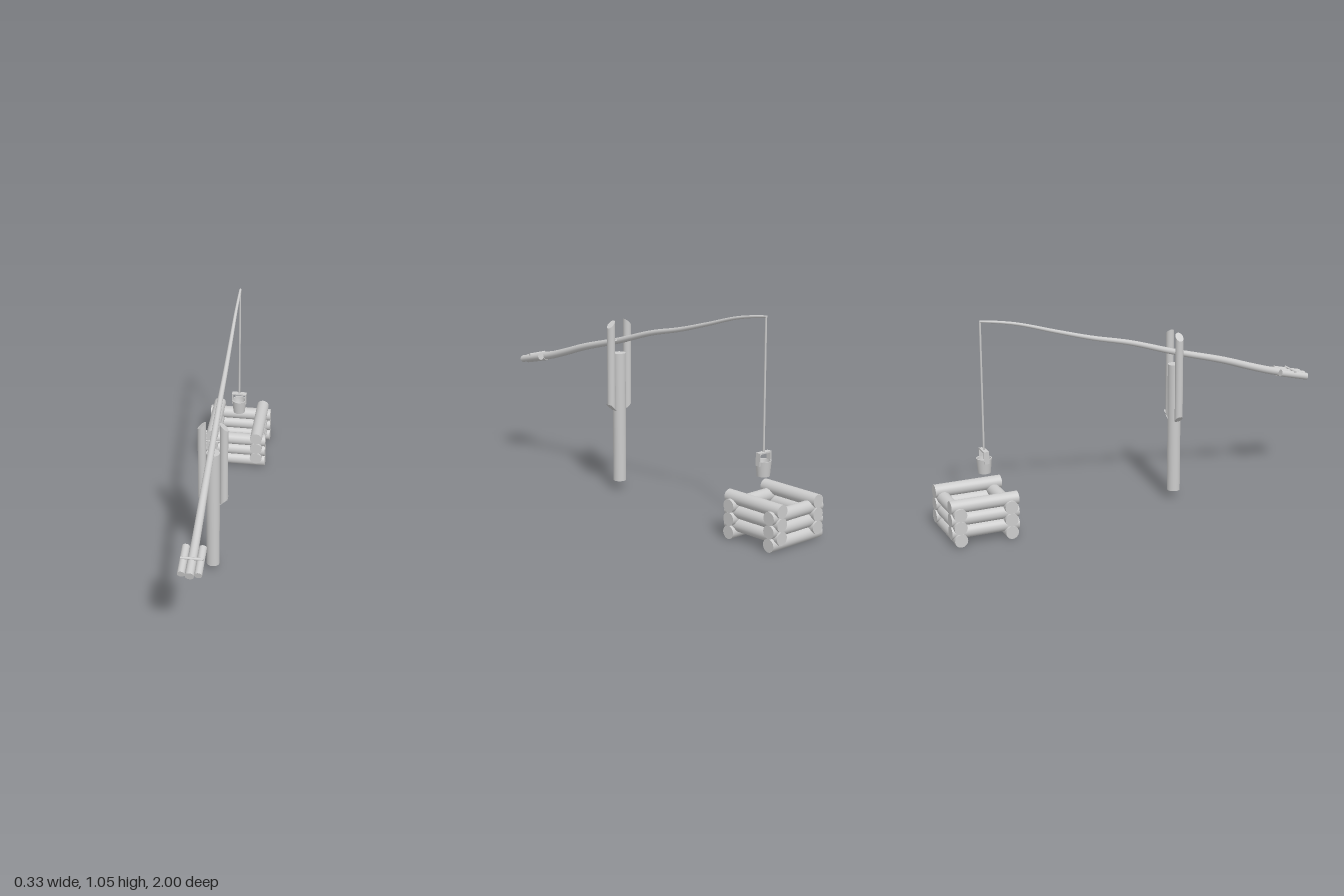
import * as THREE from 'three';

const mat = new THREE.MeshStandardMaterial({ color: 0xcccccc, side: THREE.DoubleSide });
const CX = 0.012; // the post, sweep and bucket share this x

export function createModel() {
  const model = new THREE.Group();
  model.name = 'shadoofWell';

  const add = (name, geo, x = 0, y = 0, z = 0, parent = model) => {
    const mesh = new THREE.Mesh(geo, mat);
    mesh.name = name;
    mesh.position.set(x, y, z);
    parent.add(mesh);
    return mesh;
  };

  // Cylinder running between two points
  const rod = (name, a, b, r, parent = model, sides = 24) => {
    const from = new THREE.Vector3(...a), to = new THREE.Vector3(...b);
    const dir = to.clone().sub(from);
    const mid = from.clone().add(to).multiplyScalar(0.5);
    const mesh = add(name, new THREE.CylinderGeometry(r, r, dir.length(), sides), mid.x, mid.y, mid.z, parent);
    mesh.quaternion.setFromUnitVectors(new THREE.Vector3(0, 1, 0), dir.normalize());
    return mesh;
  };

  // Upright post
  const postZ = 0.243;
  rod('post', [CX, 0.045, postZ], [CX, 0.715, postZ], 0.033);

  // Fork: two round cheeks with mitred ends, longest on the inner side
  for (const side of [-1, 1]) {
    const r = 0.02, h = 0.43;
    const geo = new THREE.CylinderGeometry(r, r, h, 24);
    const p = geo.attributes.position;
    for (let i = 0; i < p.count; i++) {
      p.setY(i, p.getY(i) - Math.sign(p.getY(i)) * side * p.getX(i) * 0.9);
    }
    geo.computeVertexNormals();
    add(side < 0 ? 'rightForkCheek' : 'leftForkCheek', geo, CX + side * 0.0535, 0.652, postZ);
  }
  // Square mitred foot plate under the left cheek
  const foot = add('forkFootPlate', new THREE.PlaneGeometry(0.054, 0.042), CX + 0.0535, 0.437, postZ);
  foot.rotation.set(Math.PI / 2, Math.atan(-0.9), 0, 'ZYX');
  foot.rotation.set(Math.PI / 2, 0, 0);
  foot.quaternion.premultiply(new THREE.Quaternion().setFromAxisAngle(new THREE.Vector3(0, 0, 1), Math.atan(0.9)));

  // Pivot pin between the cheeks
  rod('pivotPin', [CX - 0.05, 0.78, postZ], [CX + 0.05, 0.78, postZ], 0.004, model, 12);

  // Sweep: slightly crooked pole tapering to the tip
  const path = new THREE.CatmullRomCurve3([
    [0.565, 0.995], [0.612, 0.8], [0.65, 0.676], [0.703, 0.516], [0.778, 0.243], [0.853, 0],
    [0.901, -0.206], [0.954, -0.393], [1.01, -0.58], [1.032, -0.687], [1.045, -0.778],
  ].map(([y, z]) => new THREE.Vector3(CX, y, z)));
  const steps = 60, sides = 16;
  const sweep = new THREE.TubeGeometry(path, steps, 1, sides, false);
  const sp = sweep.attributes.position;
  for (let i = 0; i <= steps; i++) {
    const t = i / steps, c = path.getPointAt(t);
    const r = 0.021 - 0.015 * Math.pow(t, 1.2);
    for (let j = 0; j <= sides; j++) {
      const k = i * (sides + 1) + j;
      const v = new THREE.Vector3().fromBufferAttribute(sp, k).sub(c).multiplyScalar(r).add(c);
      sp.setXYZ(k, v.x, v.y, v.z);
    }
  }
  add('sweepPole', sweep);
  // End discs closing the pole
  for (const [t, r] of [[0, 0.021], [1, 0.006]]) {
    const c = path.getPointAt(t);
    const cap = add('sweepEnd', new THREE.CircleGeometry(r, sides), c.x, c.y, c.z);
    cap.lookAt(c.clone().addScaledVector(path.getTangentAt(t), t ? 1 : -1));
  }

  // Counterweight: short logs beside the pole, tied by a cross rod
  const weight = new THREE.Group();
  weight.name = 'counterweight';
  model.add(weight);
  for (const dx of [-0.039, 0.039]) {
    rod('weightLog', [CX + dx, 0.568, 0.99], [CX + dx, 0.605, 0.835], 0.018, weight);
  }
  rod('weightLog', [CX, 0.562, 0.994], [CX, 0.6, 0.835], 0.0205, weight);
  rod('weightTie', [CX - 0.052, 0.603, 0.917], [CX + 0.052, 0.603, 0.917], 0.007, weight, 12);

  // Rope
  const tipZ = -0.775;
  rod('rope', [CX, 0.4, tipZ], [CX, 1.045, tipZ], 0.005, model, 10);

  // Bucket: hollow tapered tub with a flat strap handle
  const bucket = new THREE.Group();
  bucket.name = 'bucket';
  bucket.position.set(CX, 0.293, tipZ);
  model.add(bucket);
  const profile = [[0, 0], [0.031, 0], [0.031, 0], [0.038, 0.074], [0.038, 0.074], [0.033, 0.074], [0.033, 0.074], [0.027, 0.008], [0, 0.008]];
  add('tub', new THREE.LatheGeometry(profile.map(([x, y]) => new THREE.Vector2(x, y)), 24), 0, 0, 0, bucket);
  add('handleTop', new THREE.BoxGeometry(0.078, 0.007, 0.026), 0, 0.112, 0, bucket);
  for (const s of [-1, 1]) {
    add('handleSide', new THREE.BoxGeometry(0.006, 0.06, 0.026), s * 0.036, 0.083, 0, bucket);
  }

  // Well curb: alternating courses of logs
  const curb = new THREE.Group();
  curb.name = 'wellCurb';
  model.add(curb);
  for (let i = 0; i < 3; i++) {
    const y = 0.033 + i * 0.064;
    for (const z of [-0.703, -0.96]) rod('crossLog', [-0.167, y, z], [0.167, y, z], 0.0325, curb);
    for (const x of [-0.123, 0.119]) rod('sideLog', [x, y + 0.032, -0.66], [x, y + 0.032, -1], 0.0325, curb);
  }

  return model;
}
